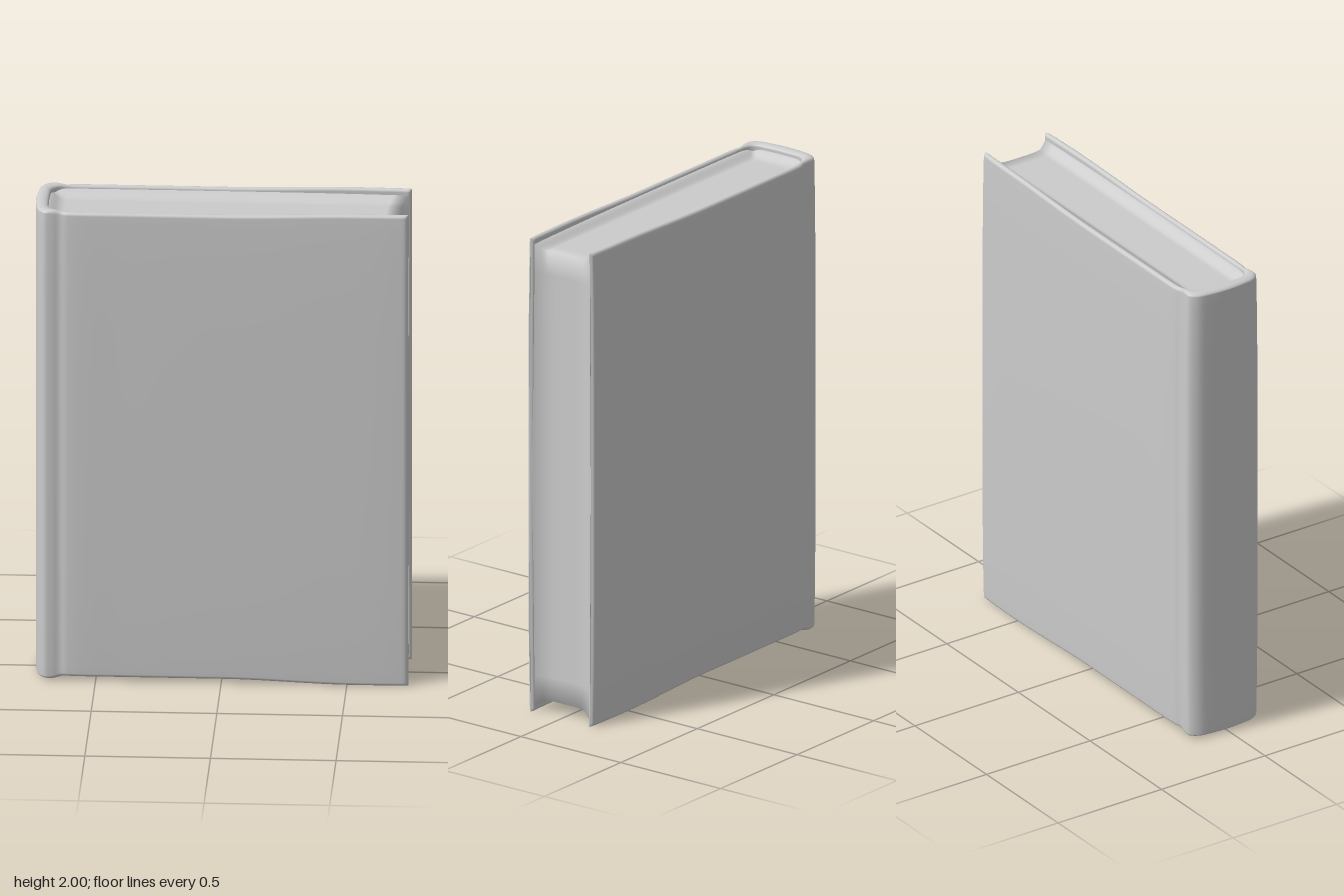
import * as THREE from 'three';

const { smoothstep, lerp } = THREE.MathUtils;

// Smooth surface from a grid of points; it faces along du x dv
function gridSurface(nu, nv, pointAt) {
  const pos = [], index = [];
  for (let i = 0; i <= nu; i++)
    for (let j = 0; j <= nv; j++) pos.push(...pointAt(i, j));
  for (let i = 0; i < nu; i++)
    for (let j = 0; j < nv; j++) {
      const a = i * (nv + 1) + j, b = a + nv + 1;
      index.push(a, b, a + 1, b, b + 1, a + 1);
    }
  const g = new THREE.BufferGeometry();
  g.setAttribute('position', new THREE.Float32BufferAttribute(pos, 3));
  g.setIndex(index);
  g.computeVertexNormals();
  return g;
}

// Half of the cover in plan, fore edge to spine: outer x, z, inner x, z
const HALF = [
  [0.744, 0.152, 0.744, 0.152], [0.735, 0.163, 0.735, 0.141],
  [0.70, 0.167, 0.70, 0.141], [0.4, 0.172, 0.4, 0.146],
  [0, 0.174, 0, 0.148], [-0.4, 0.174, -0.4, 0.148],
  [-0.61, 0.172, -0.58, 0.147], [-0.645, 0.164, -0.62, 0.146],
  [-0.675, 0.168, -0.65, 0.141], [-0.705, 0.166, -0.675, 0.125],
  [-0.73, 0.135, -0.688, 0.10], [-0.74, 0.08, -0.692, 0.05],
];
const PLAN = [
  ...HALF, [-0.745, 0, -0.693, 0],
  ...[...HALF].reverse().map(([a, b, c, d]) => [a, -b, c, -d]),
];

// The head and tail edges sag slightly between spine and fore edge
const sag = (x) => Math.min(1 - smoothstep(x, 0, 0.55), 0.25 + 0.75 * smoothstep(x, -0.69, -0.63));
// The boards draw in slightly towards head and tail
const bow = (y) => 1.015 - 0.045 * Math.abs(y - 1) ** 4;

function coverGeometry() {
  const curve = (k) => new THREE.CatmullRomCurve3(PLAN.map((p) => new THREE.Vector3(p[k], 0, p[k + 1])));
  const outer = curve(0), inner = curve(2);
  // Ring through the wall: [0 outside to 1 inside, height function of x]
  const r = 0.013, rim = 8, ring = [[1, () => 1]];
  const top = (x) => 2 - 0.01 * sag(x), bottom = (x) => 0.018 * sag(x);
  for (let k = 0; k <= rim; k++) {
    const a = (Math.PI * k) / rim;
    ring.push([0.5 + 0.5 * Math.cos(a), (x) => top(x) - r + r * Math.sin(a)]);
  }
  for (const y of [1.94, 1.87, 1.75, 1.5, 1, 0.5, 0.25, 0.13, 0.06]) ring.push([0, () => y]);
  for (let k = 0; k <= rim; k++) {
    const a = (Math.PI * k) / rim;
    ring.push([0.5 - 0.5 * Math.cos(a), (x) => bottom(x) + r - r * Math.sin(a)]);
  }
  ring.push([1, () => 1]);

  const steps = (PLAN.length - 1) * 5;
  return gridSurface(steps, ring.length - 1, (i, j) => {
    const o = outer.getPoint(i / steps), n = inner.getPoint(i / steps);
    const [w, height] = ring[j];
    const p = o.clone().lerp(n, w), y = height(o.x);
    return [p.x, y, p.z * bow(y)];
  });
}

function pagesGeometry() {
  const nz = 40, nx = 40, half = 0.146;
  const foreHeights = [1.85, 1.8, 1.4, 1, 0.6, 0.2, 0.15];
  const last = 2 * (nx + 1) + foreHeights.length - 1;
  return gridSurface(nz, last, (i, j) => {
    const z = lerp(-half, half, i / nz);
    // Hollow fore edge
    const xEnd = 0.705 + 0.034 * Math.abs(z / half) ** 3.5;
    if (j > nx && j < last - nx) return [xEnd, foreHeights[j - nx - 1], z];
    // Head and tail sink between the boards and the spine; rows crowd at the spine
    const isHead = j <= nx;
    const u = (isHead ? j : last - j) / nx;
    const x = lerp(-0.70, xEnd, u ** 1.6);
    const rise = Math.max(smoothstep(Math.abs(z), 0.09, half), 1 - smoothstep(x, -0.70, -0.64));
    const depth = 0.05 - 0.027 * rise;
    return [x, isHead ? 2 - depth : depth, z];
  });
}

export function createModel() {
  const group = new THREE.Group();
  group.name = 'book';
  const material = new THREE.MeshStandardMaterial({ color: 0xcccccc, side: THREE.DoubleSide });
  const add = (name, geometry) => {
    const mesh = new THREE.Mesh(geometry, material);
    mesh.name = name;
    group.add(mesh);
  };
  add('cover', coverGeometry());
  add('pageBlock', pagesGeometry());
  return group;
}
